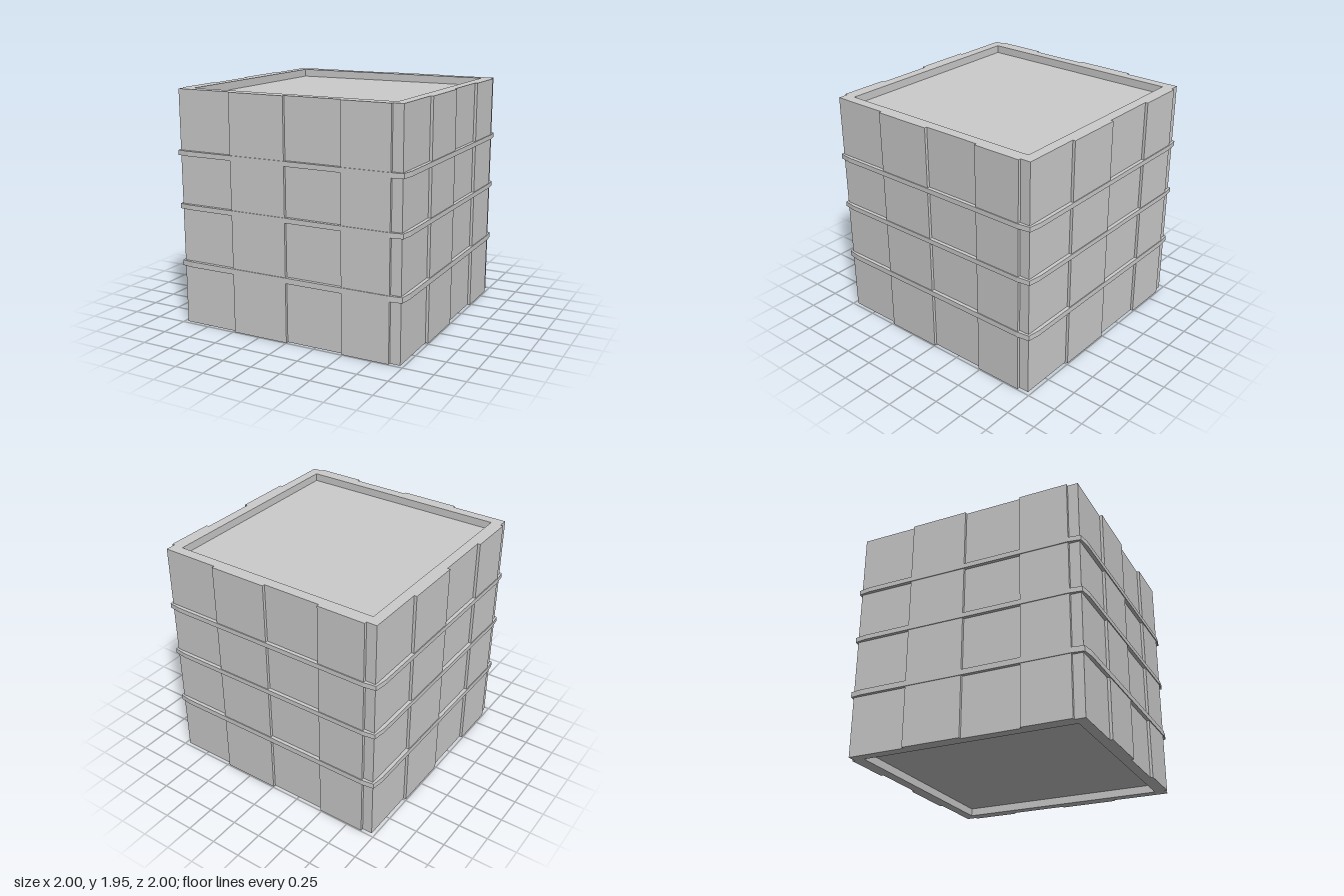
import * as THREE from 'three';

const HEIGHT = 1.95, WALL = 0.97, PANEL = 0.993, INNER = 0.885, RECESS = 0.065;

// Repeats one side's outline (x along the side, d outward) around four sides
function fourSided(side) {
  const pts = [];
  for (let k = 0; k < 4; k++) {
    for (const [x, d] of side) {
      let p = [x, -d];
      for (let i = 0; i < k; i++) p = [-p[1], p[0]];
      pts.push(new THREE.Vector2(p[0], p[1]));
    }
  }
  return pts;
}

// Extrudes a plan outline upwards from y0 to y1
function upright(shape, y0, y1) {
  const g = new THREE.ExtrudeGeometry(shape, { depth: y1 - y0, bevelEnabled: false });
  g.rotateX(-Math.PI / 2);
  g.translate(0, y0, 0);
  return g;
}

export function createModel() {
  const group = new THREE.Group();
  const material = new THREE.MeshStandardMaterial({ color: 0xcccccc, flatShading: true });
  const add = (name, geometry) => {
    const mesh = new THREE.Mesh(geometry, material);
    mesh.name = name;
    group.add(mesh);
    return mesh;
  };

  // Walls with two raised panels per side, open in the middle
  const walls = new THREE.Shape(fourSided([
    [-WALL, WALL],
    [-0.485, WALL], [-0.485, PANEL], [0, PANEL], [0, WALL],
    [0.485, WALL], [0.485, PANEL], [INNER, PANEL], [INNER, WALL],
  ]));
  walls.holes.push(new THREE.Path([
    new THREE.Vector2(-INNER, -INNER), new THREE.Vector2(-INNER, INNER),
    new THREE.Vector2(INNER, INNER), new THREE.Vector2(INNER, -INNER),
  ]));
  add('panelledWalls', upright(walls, 0, HEIGHT));

  // Inner block, set back from the rim at top and bottom
  add('core', new THREE.BoxGeometry(2 * INNER, HEIGHT - 2 * RECESS, 2 * INNER))
    .position.y = HEIGHT / 2;

  // Three straps with slightly eased corners
  const strap = new THREE.Shape(fourSided([[-0.985, 0.985], [-0.88, 1], [0.88, 1]]));
  [[0.495, 0.54], [0.98, 1.02], [1.42, 1.46]].forEach(([y0, y1], i) => {
    add('strap' + (i + 1), upright(strap, y0, y1));
  });

  return group;
}
